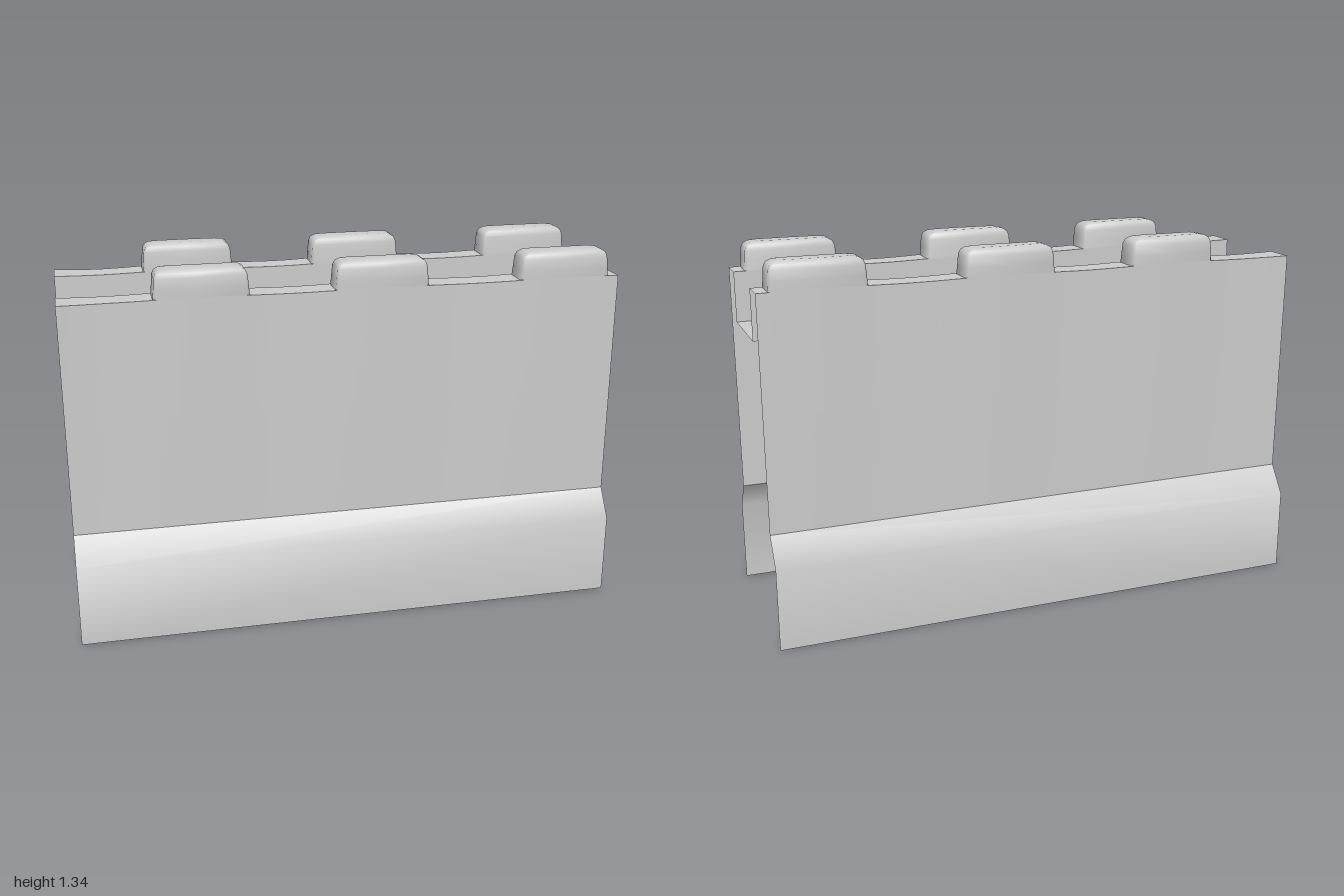
import * as THREE from 'three';
import { toCreasedNormals } from 'three/addons/utils/BufferGeometryUtils.js';

const INNER_Z = 0.16, WALL_BASE_Z = 0.262, BEND_Y = 0.4, FLOOR_Y = 1.055, MERLON_H = 0.1;
const MERLONS = [[-0.68, -0.35], [-0.05, 0.285], [0.625, 0.96]];
const GAPS = [[-1, -0.68], [-0.35, -0.05], [0.285, 0.625], [0.96, 1]];

const material = new THREE.MeshStandardMaterial({ color: 0xcccccc, side: THREE.DoubleSide });

// Slightly uneven stone: the wall swells at the merlons and dips between them
const swell = (x) => Math.cos((x + 0.515) * Math.PI * 2 / 0.655);
const outerZ = (x) => 0.263 + 0.005 * swell(x) + (x < -0.85 ? (-0.85 - x) * 0.06 : 0);
const topY = (x) => 1.236 + 0.003 * swell(x);

// Skin a grid of [x, y, z] rows; z is mirrored for side = -1
function loft(rows, side = 1, crease = 0.5) {
  const n = rows[0].length, index = [];
  const pos = rows.flat().flatMap(([x, y, z]) => [x, y, z * side]);
  for (let i = 0; i < rows.length - 1; i++) {
    for (let j = 0; j < n - 1; j++) {
      const a = i * n + j, b = a + 1, d = a + n, c = d + 1;
      if (side > 0) index.push(a, b, c, a, c, d);
      else index.push(a, c, b, a, d, c);
    }
  }
  const g = new THREE.BufferGeometry();
  g.setAttribute('position', new THREE.Float32BufferAttribute(pos, 3));
  g.setIndex(index);
  return toCreasedNormals(g, crease);
}

function span(x0, x1, n) {
  return Array.from({ length: n + 1 }, (_, i) => x0 + (x1 - x0) * i / n);
}

// Block with softened top edges and a gently domed top, open underneath
function merlonGeometry(x0, x1, side) {
  const mid = (x0 + x1) / 2;
  const levels = [[0, 0], [0.003, 0.035], [0.006, 0.072], [0.013, 0.088], [0.026, 0.096], [0.05, 0.1]];
  const rows = levels.map(([inset, h]) => {
    const a = x0 + inset, b = x1 - inset, zi = INNER_Z + inset * 0.5;
    const c = 0.008; // corner chamfer
    const out = (x) => outerZ(x) + 0.003 * (h > 0 ? 1 : 0) - inset * 0.6;
    const ring = [
      [a + c, out(a)], [mid, out(mid)], [b - c, out(b)], [b, out(b) - c],
      [b, zi + c], [b - c, zi], [mid, zi], [a + c, zi], [a, zi + c], [a, out(a) - c],
    ];
    ring.push(ring[0]);
    return ring.map(([x, z]) => [x, (h ? 1.235 : topY(x)) + h, z]);
  });
  const zc = (INNER_Z + outerZ(mid)) / 2;
  rows.push(rows[0].map(() => [mid, 1.235 + MERLON_H, zc]));
  return loft(rows, side, 0.85);
}

export function createModel() {
  const model = new THREE.Group();
  model.name = 'battlementWall';
  const add = (parent, name, geometry) => {
    const mesh = new THREE.Mesh(geometry, material);
    mesh.name = name;
    parent.add(mesh);
  };
  const xs = span(-1, 1, 48);

  for (const side of [1, -1]) {
    const half = new THREE.Group();
    half.name = side > 0 ? 'frontWall' : 'backWall';
    model.add(half);

    // Flared foot: vertical skirt, then a slope in to the wall
    const skirt = [[0, 0.333], [0.3, 0.333], [BEND_Y, WALL_BASE_Z]];
    add(half, 'skirt', loft(skirt.map(([y, z]) => [-1, 1].map((x) => [x, y, z])), side, 1));

    // Outer face
    add(half, 'outerFace', loft([0, 0.5, 1].map((t) => xs.map((x) => [
      x, BEND_Y + (topY(x) - BEND_Y) * t, WALL_BASE_Z + (outerZ(x) - WALL_BASE_Z) * t,
    ])), side));

    // Inner face of the parapet, down to the walkway
    add(half, 'parapetInnerFace', loft([
      xs.map((x) => [x, topY(x), INNER_Z]),
      xs.map((x) => [x, FLOOR_Y, INNER_Z]),
    ], side));

    // Low parapet tops between the merlons
    for (const [x0, x1] of GAPS) {
      const gx = span(x0, x1, 8);
      add(half, 'parapetTop', loft([
        gx.map((x) => [x, topY(x), outerZ(x)]),
        gx.map((x) => [x, topY(x), INNER_Z]),
      ], side));
    }

    for (const [x0, x1] of MERLONS) add(half, 'merlon', merlonGeometry(x0, x1, side));
  }

  // Walkway between the parapets
  add(model, 'walkway', loft([INNER_Z, -INNER_Z].map((z) => [-1, 1].map((x) => [x, FLOOR_Y, z]))));
  return model;
}
